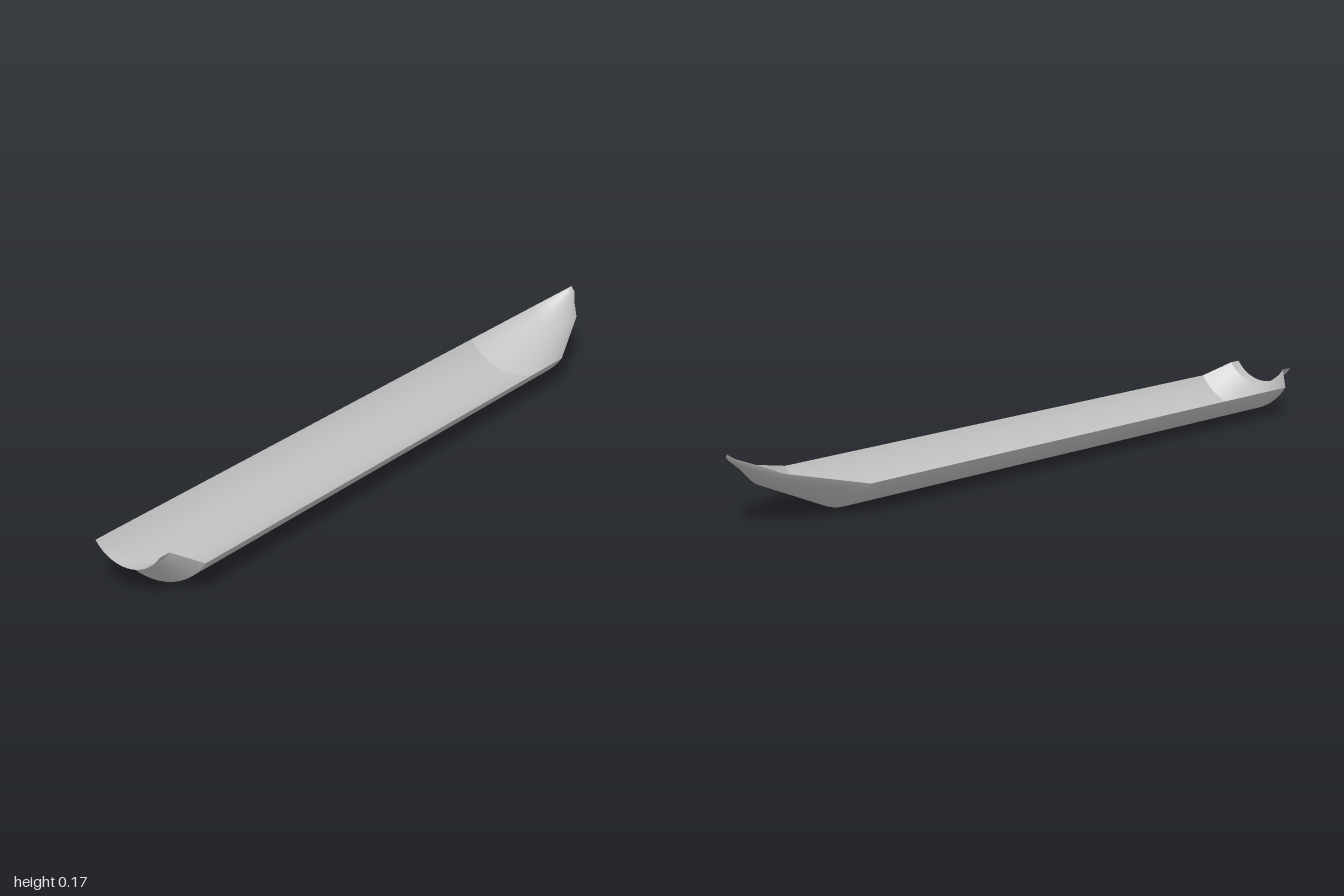
import * as THREE from 'three';

const AXIS_Y = 0.172;                          // height of the axis the shell curves around
const HALF_ARC = THREE.MathUtils.degToRad(56); // half of the open shell's arc

export function createModel() {
  const group = new THREE.Group();
  group.name = 'openShell';
  const metal = new THREE.MeshStandardMaterial({ color: 0xc0c0c0, side: THREE.DoubleSide });
  metal.name = 'light grey metal';

  // Part of a turned shell along z; profile holds [radius, z] pairs
  function addShell(name, profile) {
    const points = profile.map(([r, z]) => new THREE.Vector2(r, z));
    const geometry = new THREE.LatheGeometry(points, 24, -HALF_ARC, HALF_ARC * 2);
    geometry.rotateX(Math.PI / 2);
    const mesh = new THREE.Mesh(geometry, metal);
    mesh.name = name;
    mesh.position.y = AXIS_Y;
    group.add(mesh);
  }

  // Sections are separate so the edges between them stay sharp
  addShell('nose', [[0, -1], [0.018, -0.99], [0.05, -0.945], [0.088, -0.9], [0.172, -0.695]]);
  addShell('body', [[0.172, -0.695], [0.172, 0.905]]);
  addShell('shoulder', [[0.172, 0.905], [0.108, 0.965]]);
  addShell('neck', [[0.108, 0.965], [0.108, 1]]);
  return group;
}
